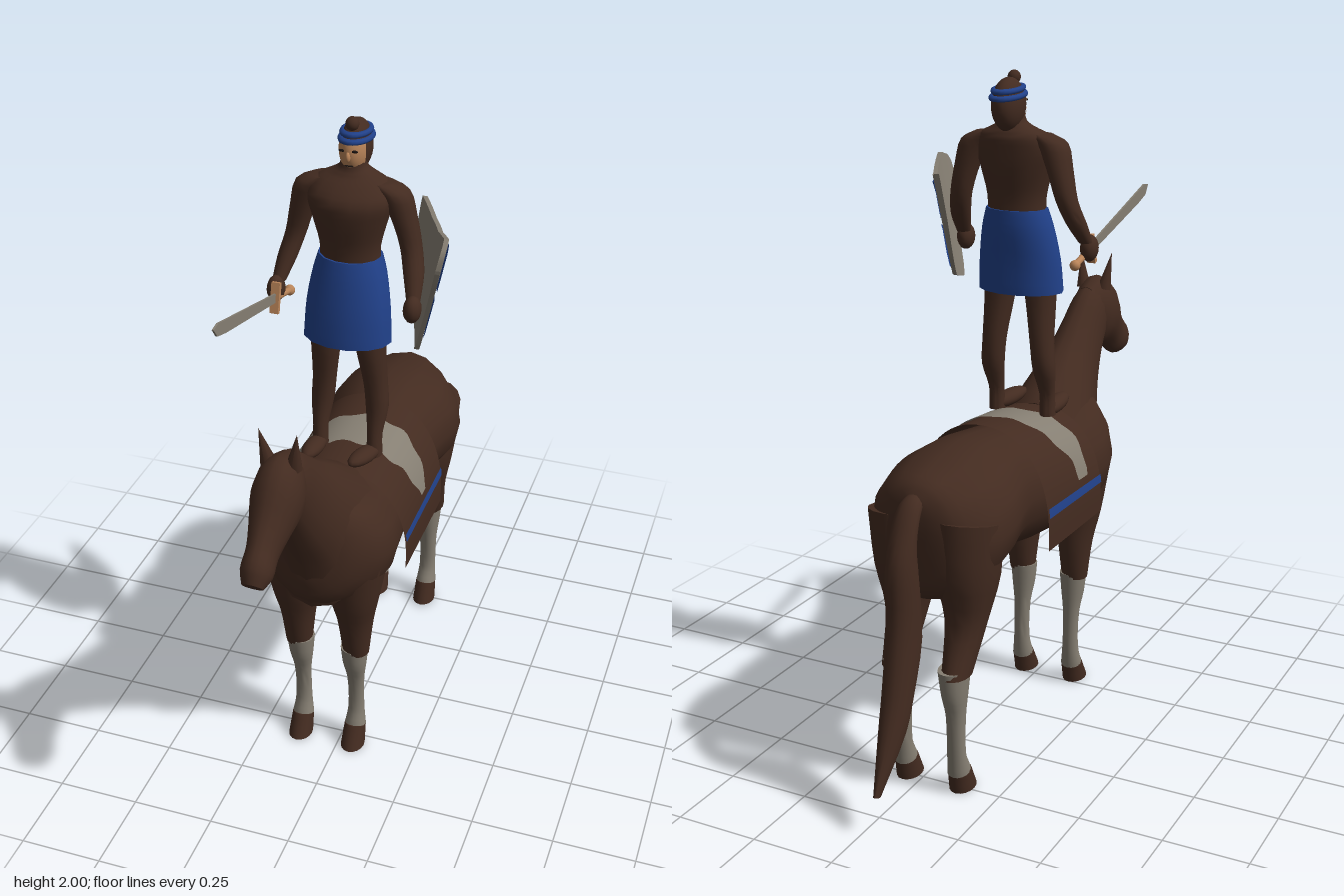
import * as THREE from 'three';
import { toCreasedNormals } from 'three/addons/utils/BufferGeometryUtils.js';

const CX = -0.04; // mid line of horse and rider
const mat = (name, color) => Object.assign(new THREE.MeshStandardMaterial({ color }), { name });

export function createModel() {
  const root = new THREE.Group();
  const brown = mat('brown coat', 0x432b20);
  const blue = mat('blue cloth', 0x21418a);
  const grey = mat('grey', 0x857e72);
  const tan = mat('tan', 0xb98459);
  const dark = mat('dark', 0x1c1512);
  for (const m of [blue, grey, brown]) m.side = THREE.DoubleSide;

  const add = (name, geo, material, parent = root) => {
    const mesh = new THREE.Mesh(geo, material);
    mesh.name = name;
    parent.add(mesh);
    return mesh;
  };

  // Smooth skin over closed rings, with flat end caps, always facing outward
  function loft(rings, steps = 3) {
    const n = rings[0].length, rows = (rings.length - 1) * steps;
    const cols = rings[0].map((_, j) => new THREE.CatmullRomCurve3(rings.map(r => r[j])));
    const pos = [], idx = [];
    for (let i = 0; i <= rows; i++)
      for (const c of cols) pos.push(...c.getPoint(i / rows).toArray());
    for (let i = 0; i < rows; i++)
      for (let j = 0; j < n; j++) {
        const a = i * n + j, b = i * n + (j + 1) % n;
        idx.push(a, b, a + n, b, b + n, a + n);
      }
    for (let j = 1; j < n - 1; j++) {
      const e = rows * n;
      idx.push(0, j + 1, j, e, e + j, e + j + 1);
    }
    const v = k => new THREE.Vector3().fromArray(pos, k * 3);
    let volume = 0;
    for (let k = 0; k < idx.length; k += 3) volume += v(idx[k]).dot(v(idx[k + 1]).cross(v(idx[k + 2])));
    if (volume < 0) idx.reverse();
    const g = new THREE.BufferGeometry();
    g.setAttribute('position', new THREE.Float32BufferAttribute(pos, 3));
    g.setIndex(idx);
    return toCreasedNormals(g, 0.9);
  }
  const circle = (n, fn) => Array.from({ length: n }, (_, j) => fn(Math.cos(j / n * 2 * Math.PI), Math.sin(j / n * 2 * Math.PI)));
  // Horse section: two outline points [zA, yA, zB, yB] and a half width
  const profile = (cx, rows) => loft(rows.map(([zA, yA, zB, yB, w]) => circle(16, (c, s) =>
    new THREE.Vector3(cx + w * c, (yA + yB) / 2 + s * (yA - yB) / 2, (zA + zB) / 2 + s * (zA - zB) / 2))));
  // Rider section: level ellipse [x, y, z, rx, rz]
  const column = rows => loft(rows.map(([x, y, z, rx, rz = rx]) => circle(14, (c, s) =>
    new THREE.Vector3(x + rx * c, y, z + rz * s))));

  // Horse trunk, neck, head and tail
  add('horseBody', profile(CX, [
    [-.61, .91, -.6, .74, .04], [-.58, .95, -.58, .62, .13], [-.5, .975, -.5, .58, .195], [-.4, .995, -.4, .6, .212],
    [-.3, 1, -.3, .625, .196], [-.2, .99, -.2, .62, .178], [0, .962, 0, .585, .186], [.15, .955, .15, .575, .198],
    [.25, .98, .25, .575, .21], [.33, 1.0, .34, .59, .188], [.38, 1.0, .42, .65, .125], [.41, .96, .44, .75, .05]]), brown);
  add('neck', profile(CX, [
    [.15, .975, .405, .62, .165], [.27, 1.06, .455, .79, .115], [.36, 1.12, .51, .9, .085],
    [.44, 1.185, .56, .99, .068], [.52, 1.25, .6, 1.05, .06], [.59, 1.275, .63, 1.08, .055]]), brown);
  add('head', profile(CX, [
    [.54, 1.26, .54, 1.11, .045], [.62, 1.285, .58, 1.06, .068], [.68, 1.255, .62, 1.05, .07], [.74, 1.175, .67, 1.035, .055],
    [.79, 1.12, .72, 1.01, .043], [.835, 1.075, .765, .985, .044], [.85, 1.03, .81, .985, .03]]), brown);
  add('tail', profile(CX, [
    [-.58, .93, -.58, .87, .025], [-.63, .91, -.61, .86, .035], [-.69, .82, -.63, .79, .04], [-.72, .74, -.615, .68, .045],
    [-.725, .58, -.6, .5, .045], [-.755, .39, -.65, .35, .042], [-.78, .3, -.69, .255, .036], [-.84, .12, -.81, .11, .008]]), brown);

  for (const [side, s] of [['left', 1], ['right', -1]]) {
    const x = CX + s * .088;
    // Front leg: shoulder and forearm, stocking, hoof
    add(side + 'FrontLeg', profile(x + s * .005, [
      [.39, .74, .16, .72, .1], [.365, .6, .2, .58, .075], [.335, .5, .21, .49, .055], [.31, .37, .23, .37, .041]]), brown);
    add(side + 'FrontStocking', profile(x, [
      [.313, .385, .227, .385, .043], [.305, .32, .232, .32, .037], [.283, .25, .235, .25, .027],
      [.278, .13, .232, .12, .026], [.295, .075, .235, .055, .034]]), grey);
    add(side + 'FrontHoof', profile(x, [[.298, .075, .235, .06, .034], [.342, .005, .245, 0, .037]]), brown);
    // Hind leg: thigh, stocking, hoof
    add(side + 'HindLeg', profile(x + s * .008, [
      [-.36, .8, -.6, .85, .1], [-.35, .65, -.585, .68, .088], [-.41, .53, -.545, .53, .062], [-.478, .38, -.597, .38, .04]]), brown);
    add(side + 'HindStocking', profile(x, [
      [-.472, .395, -.6, .4, .043], [-.487, .32, -.585, .32, .036], [-.5, .25, -.563, .25, .029],
      [-.505, .13, -.553, .12, .028], [-.48, .075, -.55, .055, .034]]), grey);
    add(side + 'HindHoof', profile(x, [[-.478, .075, -.548, .06, .034], [-.443, .005, -.54, 0, .037]]), brown);
    // Ear
    const ear = add(side + 'Ear', new THREE.ConeGeometry(.024, .12, 8), brown);
    ear.position.set(CX + s * .045, 1.305, .61);
    ear.rotation.set(.15, 0, -s * .15);
  }

  // Draped strip: each row is [angle round the back, z front, z back]
  const drape = (rows, lift) => {
    const pos = [], idx = [];
    const curve = v => Math.sign(v) * Math.abs(v) ** .91;
    for (const [a, ...ends] of rows) {
      const c = Math.cos(a), s = Math.sin(a);
      for (const z of ends) {
        const rise = .282 - .093 * z + lift; // the back dips toward the withers
        pos.push(CX + (.217 + lift) * (s < 0 ? Math.sign(c) : curve(c)), .7 + (s < 0 ? .3 * s : rise * curve(s)), z);
      }
    }
    for (let i = 0; i < rows.length - 1; i++) idx.push(2 * i, 2 * i + 1, 2 * i + 2, 2 * i + 1, 2 * i + 3, 2 * i + 2);
    const g = new THREE.BufferGeometry();
    g.setAttribute('position', new THREE.Float32BufferAttribute(pos, 3));
    g.setIndex(idx);
    g.computeVertexNormals();
    return g;
  };
  const arc = (a0, a1, n, z) => Array.from({ length: n + 1 }, (_, i) => {
    const a = a0 + (a1 - a0) * i / n;
    return [a, ...z(a)];
  });
  add('saddleCloth', drape(arc(-.17, Math.PI + .17, 32, () => [.175, -.2]), .003), brown);
  add('saddlePatch', drape(arc(.31, Math.PI - .31, 32, a => {
    const t = Math.min(1, (Math.sin(a) - Math.sin(.31)) / .5), w = .025 + .045 * t + .007 * Math.sin(a * 14);
    const mid = a > Math.PI / 2 ? -.022 + .075 * Math.min(1, a - Math.PI / 2) : -.022;
    return [mid + w, mid - w];
  }), .007), grey);
  for (const a of [.137, Math.PI - .226]) add('saddleStripe', drape(arc(a, a + .089, 2, () => [.173, -.198]), .007), blue);

  // Rider: torso, kilt and limbs
  add('torso', column([
    [CX, 1.57, .03, .09, .07], [CX, 1.64, .03, .09, .07], [CX, 1.72, .03, .11, .085], [CX, 1.78, .028, .125, .088],
    [CX, 1.82, .01, .108, .07], [CX, 1.843, .002, .064, .048], [CX, 1.86, 0, .04, .04], [CX, 1.9, -.005, .036, .038]]), brown);
  add('kilt', column([
    [CX, 1.605, .03, .094, .075], [CX, 1.55, .037, .11, .083], [CX, 1.45, .052, .127, .088], [CX, 1.355, .06, .133, .092]]), blue);
  for (const [side, s] of [['left', 1], ['right', -1]]) {
    const at = d => CX + s * d;
    add(side + 'RiderLeg', column([
      [at(.06), 1.45, .05, .056, .06], [at(.068), 1.33, .053, .044, .053], [at(.079), 1.2, .04, .035, .042],
      [at(.085), 1.12, .043, .034, .036], [at(.085), 1.04, .066, .023, .025], [at(.085), .972, .072, .024, .03]]), brown);
    const foot = add(side + 'Foot', new THREE.SphereGeometry(1, 14, 10), brown);
    foot.scale.set(.03, .024, .078);
    foot.position.set(at(s > 0 ? .07 : .087), .993, .122);
    foot.rotation.set(-.12, s > 0 ? -.25 : 0, 0);
    add(side + 'Arm', column([
      [at(.08), 1.825, .01, .04, .035], [at(.12), 1.8, .01, .046, .046], [at(.147), 1.73, .005, .037, .045],
      [at(.17), 1.64, .005, .031, .038], [at(.188), 1.57, .035, .029, .034], [at(.2), 1.51, .075, .02, .024]]), brown);
    const hand = add(side + 'Hand', new THREE.SphereGeometry(1, 12, 10), brown);
    hand.scale.set(.026, .04, .034);
    hand.position.set(at(.203), 1.49, .095);
  }

  // Rider's head: hair, face, rolled headband and topknot
  const headGroup = new THREE.Group();
  headGroup.name = 'riderHead';
  headGroup.position.set(CX, 1.906, -.026);
  root.add(headGroup);
  const ball = (name, m, scale, p, ...args) => {
    const b = add(name, new THREE.SphereGeometry(1, 20, 16, ...args), m, headGroup);
    b.scale.set(...scale);
    b.position.set(...p);
    return b;
  };
  ball('hair', brown, [.044, .077, .07], [0, 0, 0]);
  ball('face', tan, [.045, .079, .074], [0, 0, .001], .5, Math.PI - 1, 1.15, 1.65);
  ball('nose', tan, [.007, .015, .01], [0, -.008, .073]);
  ball('mouth', dark, [.013, .0025, .004], [0, -.036, .066]);
  for (const s of [-1, 1]) ball('eye', dark, [.011, .004, .004], [s * .017, .008, .069]);
  for (const [y, r] of [[.026, .041], [.044, .036]]) {
    const band = add('headband', new THREE.TorusGeometry(r, .0085, 8, 24), blue, headGroup);
    band.rotation.x = Math.PI / 2 - .08;
    band.scale.y = 1.6;
    band.position.set(0, y, -.002);
  }
  ball('topknot', brown, [.019, .02, .02], [0, .074, .035]);

  // Shield: a box whose upper and lower edges follow outlines [z, y], leaned and bowed outward
  const lean = g => {
    const p = g.attributes.position;
    for (let i = 0; i < p.count; i++) {
      const z = p.getZ(i), bow = .03 * (1 - ((z - .012) / .178) ** 2);
      p.setX(i, p.getX(i) + .25 + .437 * (z - .18) + .217 * (p.getY(i) - 1.67) + bow);
    }
    g.computeVertexNormals();
    return g;
  };
  const heightAt = (edge, z) => {
    const i = Math.max(1, edge.findIndex(p => p[0] >= z - 1e-6));
    return THREE.MathUtils.mapLinear(z, edge[i - 1][0], edge[i][0], edge[i - 1][1], edge[i][1]);
  };
  const upper = [[-.163, 1.717], [-.08, 1.695], [0, 1.692], [.06, 1.71], [.12, 1.733], [.165, 1.72], [.182, 1.7], [.19, 1.67]];
  const lower = [[-.163, 1.7], [-.15, 1.59], [-.13, 1.53], [-.1, 1.465], [-.04, 1.4], [.05, 1.376], [.1, 1.366],
    [.118, 1.4], [.13, 1.48], [.15, 1.57], [.178, 1.62], [.19, 1.66]];
  const plate = new THREE.BoxGeometry(.014, 1, .353, 1, 1, 48).translate(.007, .5, .0135);
  const corners = plate.attributes.position;
  for (let i = 0; i < corners.count; i++) {
    const z = corners.getZ(i);
    corners.setY(i, THREE.MathUtils.lerp(heightAt(lower, z), heightAt(upper, z), corners.getY(i)));
  }
  add('shield', lean(plate), grey);
  const panels = [
    [[.055, 1.69], [.11, 1.712], [.15, 1.705], [.17, 1.67], [.155, 1.62], [.13, 1.575], [.08, 1.56], [.05, 1.58], [.042, 1.63]],
    [[.015, 1.67], [-.06, 1.675], [-.14, 1.69], [-.135, 1.62], [-.125, 1.58], [-.05, 1.57], [.02, 1.585]],
    [[.118, 1.545], [.08, 1.535], [.05, 1.53], [.07, 1.45], [.085, 1.395], [.104, 1.43], [.112, 1.5]],
    [[.02, 1.53], [-.05, 1.55], [-.12, 1.55], [-.085, 1.475], [-.03, 1.42], [.055, 1.4], [.04, 1.46]]];
  for (const p of panels) {
    const shape = new THREE.Shape(p.map(([z, y]) => new THREE.Vector2(-z, y)));
    add('shieldPanel', lean(new THREE.ShapeGeometry(shape).translate(0, 0, .019).rotateY(Math.PI / 2)), blue);
  }

  // Sword
  const sword = new THREE.Group();
  sword.name = 'sword';
  sword.position.set(-.23, 1.477, .12);
  sword.rotation.set(0, -Math.PI / 2, .265);
  root.add(sword);
  const blade = new THREE.Shape([[0, -.013], [.38, -.02], [.44, -.017], [.468, .006], [.44, .018], [0, .013]].map(p => new THREE.Vector2(...p)));
  add('blade', new THREE.ExtrudeGeometry(blade, { depth: .006, bevelEnabled: false }).translate(0, 0, -.003), grey, sword);
  add('guard', new THREE.BoxGeometry(.014, .09, .026), tan, sword).position.x = .015;
  add('grip', new THREE.CylinderGeometry(.01, .01, .12, 10).rotateZ(Math.PI / 2), tan, sword).position.x = -.04;
  add('pommel', new THREE.SphereGeometry(.016, 10, 8), tan, sword).position.x = -.1;

  return root;
}
